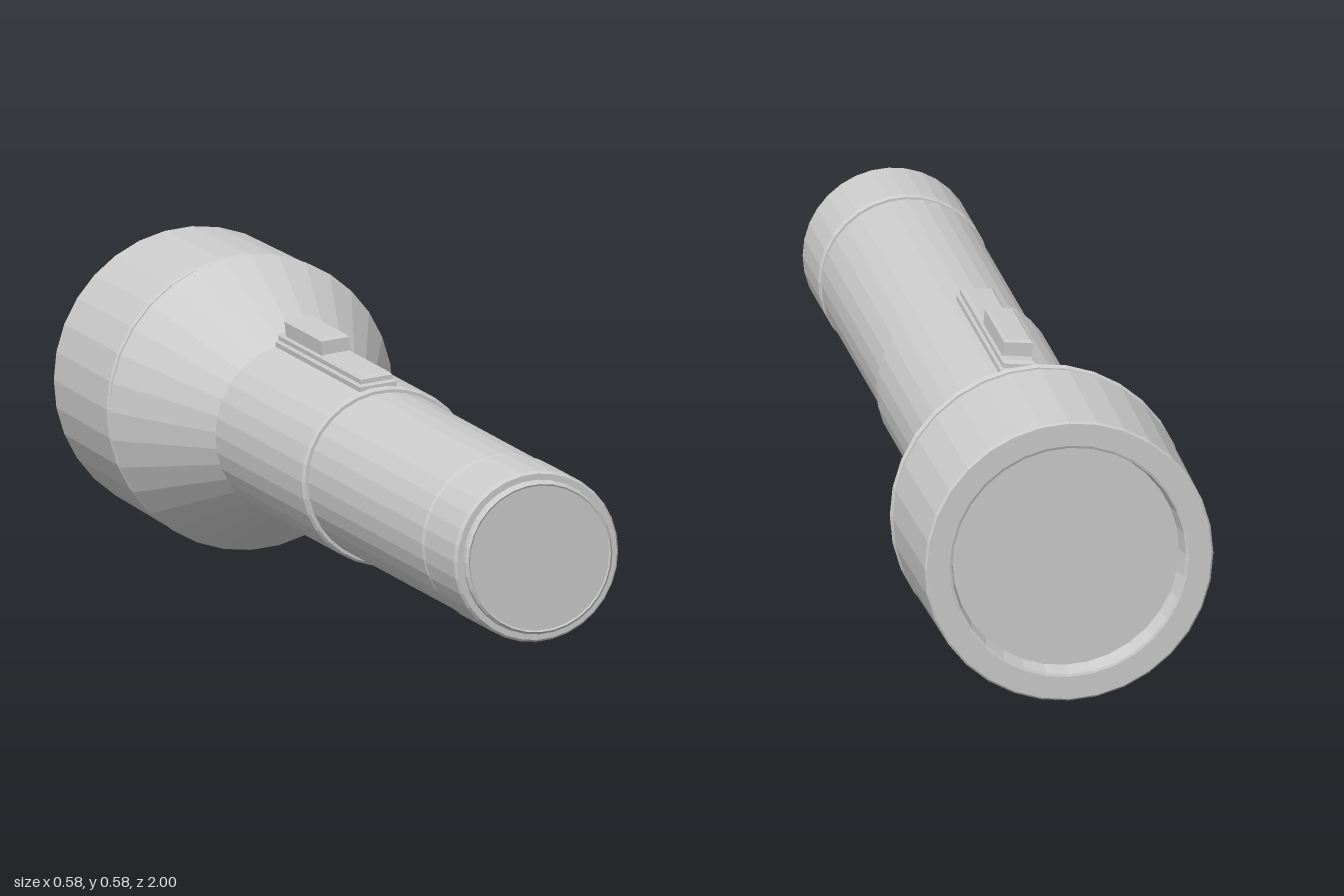
import * as THREE from 'three';

const AXIS_Y = 0.293;
const SIDES = 32;
const material = new THREE.MeshStandardMaterial({ color: 0xcccccc, flatShading: true });

// Turned part around the z axis; profile is [radius, z] from back to front.
function turned(name, profile) {
  const geometry = new THREE.LatheGeometry(profile.map(([r, z]) => new THREE.Vector2(r, z)), SIDES);
  geometry.rotateX(Math.PI / 2);
  const mesh = new THREE.Mesh(geometry, material);
  mesh.name = name;
  return mesh;
}

// Bar lying along z with a chamfered top, from height y0 to y1.
function bar(name, width, y0, y1, z0, z1, bevel) {
  const shape = new THREE.Shape();
  const w = width / 2;
  shape.moveTo(-w, z0);
  shape.lineTo(w, z0);
  shape.lineTo(w, z1);
  shape.lineTo(-w, z1);
  shape.closePath();
  const geometry = new THREE.ExtrudeGeometry(shape, {
    depth: y1 - y0 - bevel, bevelEnabled: true, bevelSegments: 1,
    bevelSize: bevel, bevelThickness: bevel, bevelOffset: -bevel,
  });
  geometry.rotateX(-Math.PI / 2); // shape y becomes -z, depth becomes y
  geometry.scale(1, 1, 1);
  geometry.translate(0, y0, z0 + z1);
  const mesh = new THREE.Mesh(geometry, material);
  mesh.name = name;
  return mesh;
}

export function createModel() {
  const model = new THREE.Group();
  model.name = 'flashlight';

  const torch = new THREE.Group();
  torch.name = 'torch';
  torch.position.y = AXIS_Y;
  model.add(torch);

  // Lamp head: hollow front rim, lens and flared reflector housing
  torch.add(turned('headRim', [
    [0.222, -0.955], [0.23, -0.998], [0.235, -1], [0.28, -1], [0.284, -0.996],
    [0.289, -0.68], [0.285, -0.675], [0.25, -0.675],
  ]));
  torch.add(turned('lens', [[0, -0.96], [0.225, -0.96]]));
  torch.add(turned('headGroove', [[0.262, -0.69], [0.262, -0.64]]));
  torch.add(turned('reflectorCone', [
    [0.25, -0.662], [0.286, -0.662], [0.291, -0.655], [0.168, -0.395], [0.163, -0.389], [0.14, -0.389],
  ]));
  torch.add(turned('neckGroove', [[0.148, -0.4], [0.148, -0.36]]));

  // Handle: collar, barrel and tail cap
  torch.add(turned('collar', [
    [0.14, -0.373], [0.172, -0.373], [0.177, -0.368], [0.177, 0.127], [0.172, 0.133], [0.16, 0.133],
  ]));
  torch.add(turned('barrel', [
    [0.166, 0.1], [0.166, 0.787], [0.162, 0.793], [0.158, 0.793], [0.158, 0.805],
  ]));
  torch.add(turned('tailCap', [
    [0.155, 0.803], [0.165, 0.803], [0.169, 0.809], [0.169, 0.978], [0.164, 0.985],
    [0.152, 0.985], [0.151, 0.995], [0.146, 1], [0.143, 0.998], [0, 0.998],
  ]));

  // Sliding switch, centred on one facet of the collar
  const slidingSwitch = new THREE.Group();
  slidingSwitch.name = 'slidingSwitch';
  slidingSwitch.rotation.z = Math.PI / SIDES;
  slidingSwitch.add(bar('switchBase', 0.076, 0.165, 0.186, -0.362, 0.122, 0.004));
  slidingSwitch.add(bar('switchTrack', 0.066, 0.178, 0.201, -0.356, 0.116, 0.006));
  slidingSwitch.add(bar('switchButton', 0.058, 0.195, 0.233, -0.322, -0.112, 0.005));
  torch.add(slidingSwitch);

  return model;
}
